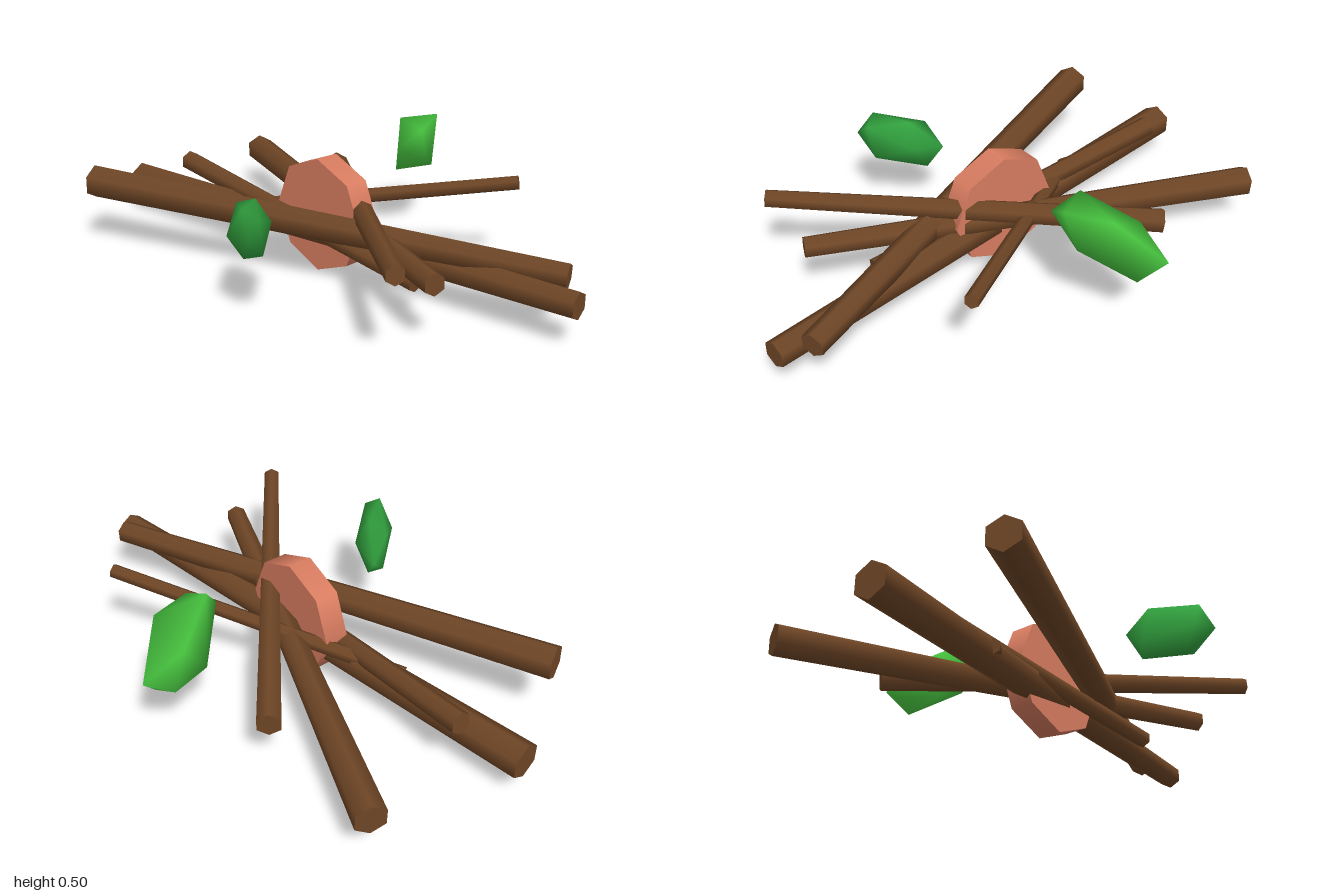
import * as THREE from 'three';
import { ConvexGeometry } from 'three/addons/geometries/ConvexGeometry.js';
import { mergeVertices } from 'three/addons/utils/BufferGeometryUtils.js';

const mat = (name, color) => {
  const m = new THREE.MeshStandardMaterial({ color });
  m.name = name;
  return m;
};

// Tapered six-sided stick between two points, one corner of the section facing up
function stick(a, b, ra, rb, material) {
  const A = new THREE.Vector3(...a), B = new THREE.Vector3(...b);
  const dir = B.clone().sub(A);
  const len = dir.length();
  dir.normalize();
  const side = dir.clone().cross(new THREE.Vector3(0, 1, 0)).normalize();
  const up = side.clone().cross(dir);
  const mesh = new THREE.Mesh(new THREE.CylinderGeometry(rb, ra, len, 6), material);
  mesh.quaternion.setFromRotationMatrix(new THREE.Matrix4().makeBasis(side, dir, up));
  mesh.position.copy(A).add(B).multiplyScalar(0.5);
  mesh.name = 'stick';
  return mesh;
}

// Faceted leaf: point-symmetric hull around its centre, with softened normals
function leaf(name, center, corners, material) {
  const pts = corners.flatMap(([x, y, z]) =>
    [new THREE.Vector3(x, y, z), new THREE.Vector3(-x, -y, -z)]);
  let geo = new ConvexGeometry(pts);
  geo.deleteAttribute('normal');
  geo = mergeVertices(geo, 1e-4);
  geo.computeVertexNormals();
  const mesh = new THREE.Mesh(geo, material);
  mesh.position.set(...center);
  mesh.name = name;
  return mesh;
}

export function createModel() {
  const model = new THREE.Group();
  model.name = 'stickBundle';
  const bark = mat('bark', 0x6f4626);
  const clay = mat('tieClay', 0xd97d61);
  const bright = mat('brightLeaf', 0x47c43f);
  const deep = mat('deepLeaf', 0x31a03e);

  // Sticks: back end, front end, back radius, front radius
  const sticks = new THREE.Group();
  sticks.name = 'sticks';
  [
    [[-0.645, 0.255, -0.725], [0.355, 0.195, 0.87], 0.066, 0.046],
    [[-0.34, 0.138, -0.975], [0.29, 0.15, 0.98], 0.067, 0.05],
    [[0.25, 0.168, -0.98], [-0.1, 0.228, 0.73], 0.06, 0.04],
    [[-0.19, 0.235, -0.81], [0, 0.122, 0.51], 0.042, 0.034],
    [[0.355, 0.207, -0.5], [-0.303, 0.335, 0.79], 0.048, 0.034],
    [[-0.22, 0.147, -0.43], [0.56, 0.343, 0.4], 0.03, 0.027],
  ].forEach(([a, b, ra, rb]) => sticks.add(stick(a, b, ra, rb, bark)));
  model.add(sticks);

  // Eight-sided tie around the middle of the bundle
  const tie = new THREE.Mesh(new THREE.CylinderGeometry(0.22, 0.22, 0.095, 8), clay);
  tie.rotation.set(0, 0.17, Math.PI / 2);
  tie.rotation.order = 'YXZ';
  tie.position.set(-0.022, 0.22, -0.005);
  tie.name = 'tie';
  model.add(tie);

  // Two leaves floating beside the bundle
  model.add(leaf('largeLeaf', [0.51, 0.367, -0.148], [
    [-0.185, 0.03, 0.118], [-0.12, 0.132, 0.045], [0.075, 0.115, 0.035],
    [-0.08, 0.093, 0.132], [0.03, 0.043, -0.105],
  ], bright));
  model.add(leaf('smallLeaf', [-0.46, 0.318, 0.19], [
    [-0.07, 0.11, 0.08], [0.04, 0.092, -0.025], [0.095, 0, -0.015],
    [-0.085, 0.03, 0.145], [-0.03, 0.075, 0.125], [-0.01, -0.06, 0.105],
  ], deep));

  return model;
}
